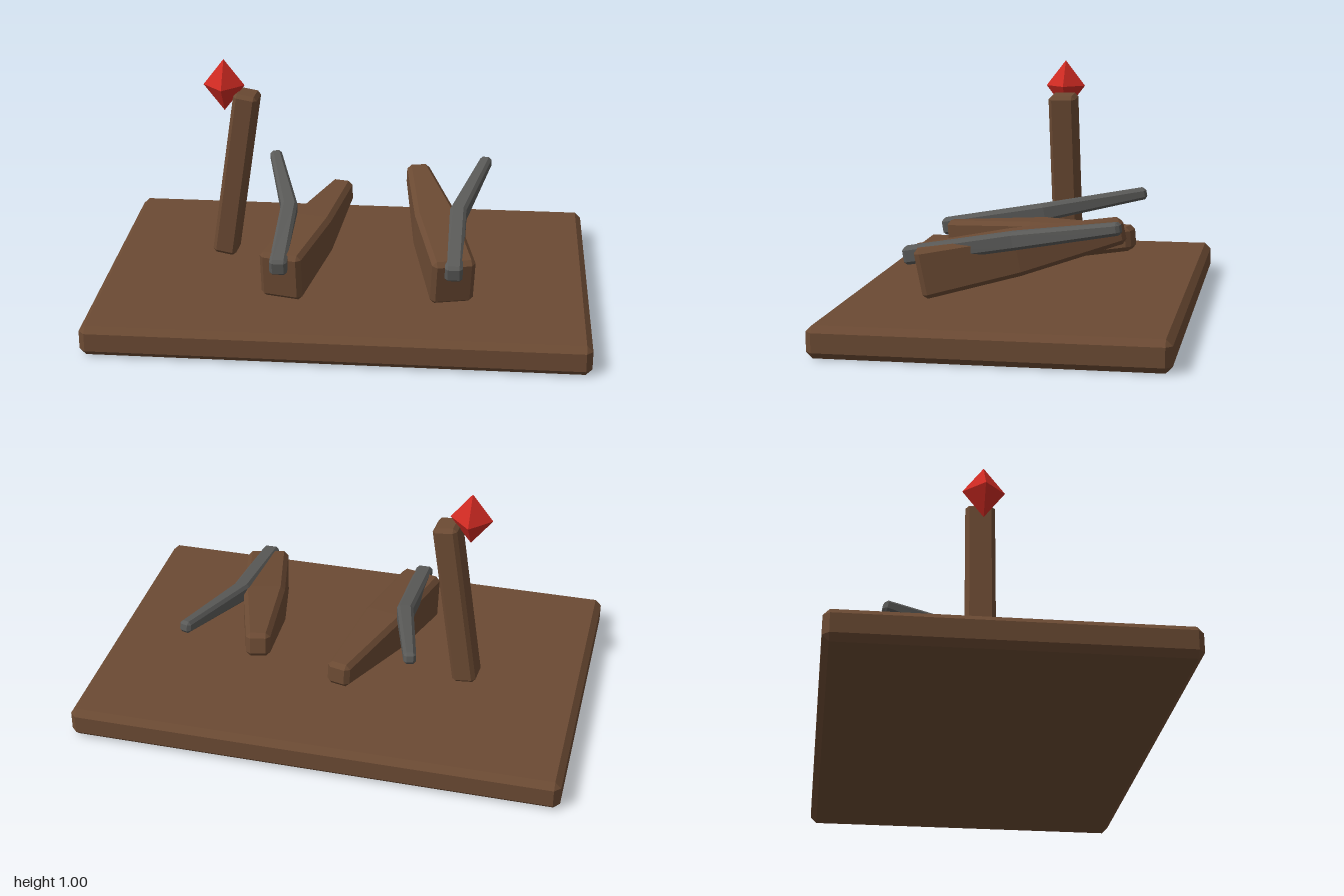
import * as THREE from 'three';

const material = (name, color) => {
  const m = new THREE.MeshStandardMaterial({ color, flatShading: true });
  m.name = name;
  return m;
};

// Chamfered beam swept through sections [x, y, z, width, height].
function beam(sections, c, ref = new THREE.Vector3(0, 1, 0)) {
  const centres = sections.map(s => new THREE.Vector3(s[0], s[1], s[2]));
  const last = sections.length - 1;
  const rings = [];

  const addRing = (centre, t, w, h, k) => {
    const right = new THREE.Vector3().crossVectors(t, ref).normalize();
    const up = new THREE.Vector3().crossVectors(right, t).normalize();
    const a = w / 2, b = h / 2;
    const outline = [
      [a, -b + k], [a, b - k], [a - k, b], [-a + k, b],
      [-a, b - k], [-a, -b + k], [-a + k, -b], [a - k, -b]
    ];
    rings.push(outline.map(([u, v]) =>
      centre.clone().addScaledVector(right, u).addScaledVector(up, v)));
  };

  sections.forEach(([, , , w, h], i) => {
    const t = centres[Math.min(i + 1, last)].clone()
      .sub(centres[Math.max(i - 1, 0)]).normalize();
    // Bevelled ends shrink to a plain rectangle.
    if (i === 0) addRing(centres[i], t, w - 2 * c, h - 2 * c, 0);
    const shift = i === 0 ? c : i === last ? -c : 0;
    addRing(centres[i].clone().addScaledVector(t, shift), t, w, h, c);
    if (i === last) addRing(centres[i], t, w - 2 * c, h - 2 * c, 0);
  });

  const pos = [];
  const tri = (...pts) => pts.forEach(p => pos.push(p.x, p.y, p.z));
  for (let i = 0; i < rings.length - 1; i++) {
    const a = rings[i], b = rings[i + 1];
    for (let j = 0; j < 8; j++) {
      const n = (j + 1) % 8;
      tri(a[j], b[j], a[n]);
      tri(a[n], b[j], b[n]);
    }
  }
  const first = rings[0], end = rings[rings.length - 1];
  for (let j = 1; j < 7; j++) {
    tri(first[0], first[j], first[j + 1]);
    tri(end[0], end[j + 1], end[j]);
  }
  const g = new THREE.BufferGeometry();
  g.setAttribute('position', new THREE.Float32BufferAttribute(pos, 3));
  g.computeVertexNormals();
  return g;
}

export function createModel() {
  const wood = material('brown wood', 0x6b4a33);
  const metal = material('grey metal', 0x5a5a58);
  const red = material('red', 0xcf2a22);
  const group = new THREE.Group();
  const add = (name, geometry, mat) => {
    const mesh = new THREE.Mesh(geometry, mat);
    mesh.name = name;
    group.add(mesh);
    return mesh;
  };

  // Base board
  add('baseBoard', beam([
    [0, 0.065, 0.675, 2, 0.125],
    [0, 0.065, -0.675, 2, 0.125]
  ], 0.025), wood);

  // Leaning lever post and its faceted knob
  add('leverPost', beam([
    [-0.525, 0.147, -0.075, 0.1, 0.117],
    [-0.418, 0.862, -0.065, 0.1, 0.117]
  ], 0.015, new THREE.Vector3(-0.07, 0, 1)), wood);
  const knob = add('leverKnob', new THREE.OctahedronGeometry(1), red);
  knob.scale.set(0.085, 0.11, 0.085);
  knob.position.set(-0.514, 0.893, -0.061);

  // Two pedals, mirrored about x = 0.107; the left one rises more at the rear
  const mirror = list => list.map(([x, ...rest]) => [0.215 - x, ...rest]);
  const block = (midY, rearY) => [
    [-0.24, 0.235, 0.375, 0.175, 0.2],
    [-0.15, midY, 0, 0.175, 0.17],
    [-0.055, rearY, -0.415, 0.098, 0.1]
  ];
  const bar = [
    [-0.24, 0.298, 0.43, 0.07, 0.07],
    [-0.245, 0.372, -0.01, 0.068, 0.072],
    [-0.355, 0.45, -0.437, 0.05, 0.05]
  ];
  add('rightPedalBlock', beam(block(0.27, 0.305), 0.018), wood);
  add('leftPedalBlock', beam(mirror(block(0.31, 0.395)), 0.018), wood);
  add('rightPedalBar', beam(bar, 0.012), metal);
  add('leftPedalBar', beam(mirror(bar), 0.012), metal);

  return group;
}
